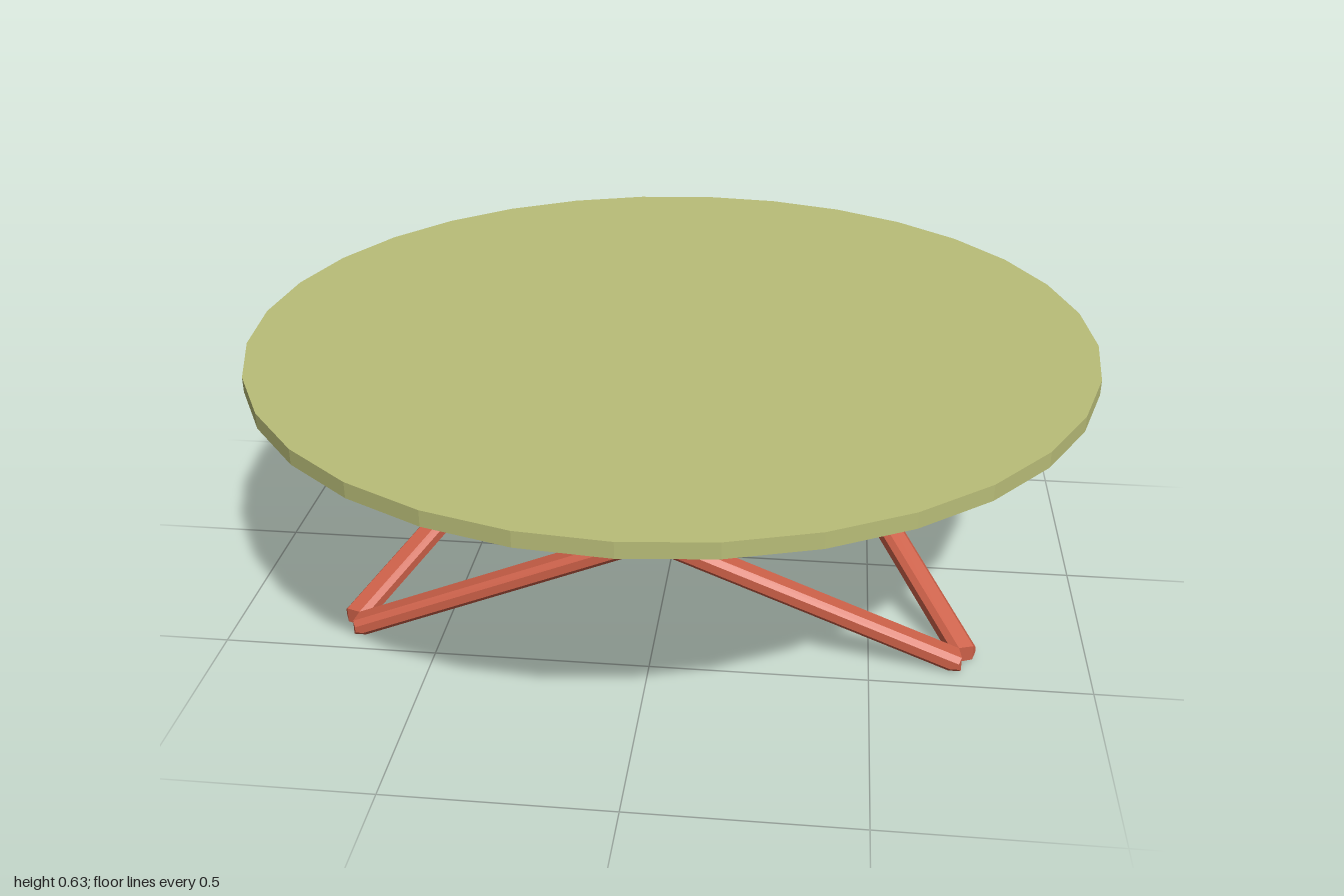
import * as THREE from 'three';

const SLOPE = 0.405, HALF = 0.024, MID = 0.3;    // bar slope, half height, crossing height
const INNER = 0.395, DEPTH = 0.06, BEVEL = 0.012;

// Outline of one crossed pair of bars, with a small filled hub
function crossShape() {
  const upper = u => SLOPE * u + HALF, lower = u => SLOPE * u - HALF;
  const top = MID, end = 0.71, bend = (top - HALF) / SLOPE;
  // hub top, bar upper edge, flat at table height, mitred end, bar lower edge
  const quarter = [[0.03, upper(0.03)], [bend, top], [end, top], [end, lower(end)], [0.1, lower(0.1)]];
  const flip = (list, sx, sy) => list.map(([x, y]) => [x * sx, y * sy]);
  const back = [...quarter].reverse();
  const points = [
    ...quarter, ...flip(back, 1, -1), ...flip(quarter, -1, -1), ...flip(back, -1, 1),
  ];
  return new THREE.Shape(points.map(([x, y]) => new THREE.Vector2(x, y + MID)));
}

// Extruded cross whose ends are mitred at 60 degrees, with a blunt tip
function crossGeometry() {
  const geo = new THREE.ExtrudeGeometry(crossShape(), {
    depth: DEPTH - 2 * BEVEL, bevelEnabled: true, bevelThickness: BEVEL,
    bevelSize: BEVEL, bevelOffset: -BEVEL, bevelSegments: 1,
  });
  geo.translate(0, 0, INNER + BEVEL);
  const p = geo.attributes.position;
  for (let i = 0; i < p.count; i++) {
    const u = Math.abs(p.getX(i)), z = p.getZ(i);
    if (u < 0.69) continue;
    const dy = p.getY(i) - MID;
    const tip = dy > 0 ? 0.85 : 0.836;
    const mitred = Math.min(Math.sqrt(3) * z, (tip - 0.5 * z) / Math.sqrt(0.75));
    p.setX(i, Math.sign(p.getX(i)) * mitred);
    // slide the inner edge along the bar
    if (Math.abs(dy) < 0.282) p.setY(i, MID + dy + Math.sign(dy) * SLOPE * (mitred - u));
  }
  geo.computeVertexNormals();
  return geo;
}

export function createModel() {
  const model = new THREE.Group();
  model.name = 'roundTable';
  const wood = new THREE.MeshStandardMaterial({ color: 0xcc6048, flatShading: true });
  const topMaterial = new THREE.MeshStandardMaterial({ color: 0xb9bd78, flatShading: true });

  // Round top
  const top = new THREE.Mesh(new THREE.CylinderGeometry(1, 1, 0.036, 32), topMaterial);
  top.name = 'tableTop';
  top.position.y = 0.612;
  model.add(top);

  // Three crossed frames around a triangle
  const base = new THREE.Group();
  base.name = 'base';
  const geo = crossGeometry();
  ['frontCross', 'leftCross', 'rightCross'].forEach((name, i) => {
    const cross = new THREE.Mesh(geo, wood);
    cross.name = name;
    cross.rotation.y = (i * 2 * Math.PI) / 3;
    base.add(cross);
  });
  model.add(base);
  return model;
}
